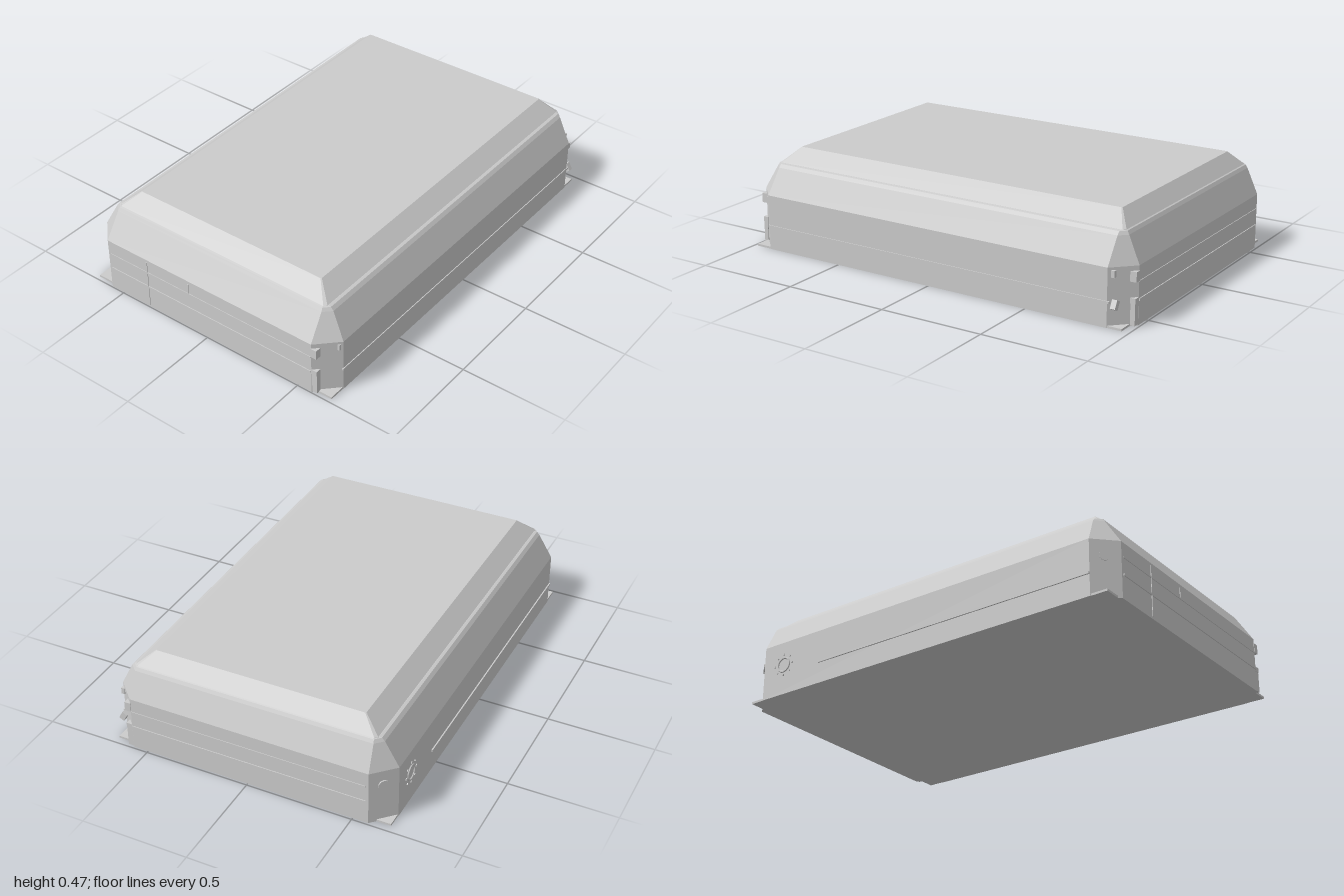
import * as THREE from 'three';

const mat = new THREE.MeshStandardMaterial({ color: 0xcccccc, flatShading: true });

// Closed hull through chamfered rectangles: [y, xMin, xMax, zHalf, chamfer]
function loftHull(levels) {
  const rings = levels.map(([y, a, b, z, c]) => [
    [a, y, z - c], [a + c, y, z], [b - c, y, z], [b, y, z - c],
    [b, y, -z + c], [b - c, y, -z], [a + c, y, -z], [a, y, -z + c],
  ]);
  const pos = [];
  const tri = (...p) => p.forEach((v) => pos.push(...v));
  for (let r = 0; r < rings.length - 1; r++) {
    const lo = rings[r], hi = rings[r + 1];
    for (let i = 0; i < 8; i++) {
      const j = (i + 1) % 8;
      tri(lo[i], lo[j], hi[j]);
      tri(lo[i], hi[j], hi[i]);
    }
  }
  const top = rings[rings.length - 1], base = rings[0];
  for (let i = 1; i < 7; i++) {
    tri(top[0], top[i], top[i + 1]);
    tri(base[0], base[i + 1], base[i]);
  }
  const g = new THREE.BufferGeometry();
  g.setAttribute('position', new THREE.Float32BufferAttribute(pos, 3));
  g.computeVertexNormals();
  return g;
}

export function createModel() {
  const model = new THREE.Group();
  model.name = 'case';

  const add = (name, geometry, x = 0, y = 0, z = 0) => {
    const m = new THREE.Mesh(geometry, mat);
    m.name = name;
    m.position.set(x, y, z);
    model.add(m);
    return m;
  };
  const box = (name, w, h, d, x, y, z) => add(name, new THREE.BoxGeometry(w, h, d), x, y, z);

  // Shell: upright walls, inward sloping shoulders, narrow lip
  add('shell', loftHull([
    [0, -0.995, 0.99, 0.667, 0.095],
    [0.262, -0.995, 0.99, 0.667, 0.095],
    [0.382, -0.918, 0.937, 0.603, 0.035],
    [0.397, -0.908, 0.928, 0.59, 0.025],
    [0.4, -0.9, 0.922, 0.578, 0.018],
  ]));

  // Raised lid with bevelled sides
  add('lid', loftHull([
    [0.385, -0.905, 0.925, 0.578, 0.012],
    [0.4, -0.9, 0.922, 0.576, 0.012],
    [0.467, -0.83, 0.865, 0.5, 0.004],
  ]));

  // Square cornered base plate
  box('basePlate', 1.945, 0.01, 1.33, -0.008, 0.005, 0);

  // Trim strips along the walls
  box('frontStrip', 1.81, 0.01, 0.008, 0, 0.113, 0.667);
  box('backStrip', 1.46, 0.01, 0.01, -0.17, 0.105, -0.668);
  for (const x of [-0.995, 0.99]) {
    box('sideStrip', 0.008, 0.01, 1.13, x, 0.113, 0.005);
    box('upperSideStrip', 0.006, 0.006, 1.13, x, 0.193, 0.005);
  }

  // Upright seams on the right-hand wall
  box('sideSeam', 0.006, 0.24, 0.006, -0.995, 0.13, -0.34);
  box('shortSideSeam', 0.006, 0.05, 0.006, -0.995, 0.22, -0.1);

  // Latches, hinges and feet at the front corners
  for (const [x, inner] of [[-0.982, -0.91], [0.978, 0.915]]) {
    box('latch', 0.03, 0.045, 0.03, x, 0.218, 0.585);
    box('hinge', 0.026, 0.024, 0.03, x, 0.113, 0.585);
    box('cornerFoot', 0.022, 0.1, 0.03, x, 0.055, 0.585);
    box('innerLatch', 0.016, 0.03, 0.016, inner, 0.235, 0.652);
  }
  const knob = box('cornerKnob', 0.024, 0.04, 0.026, 0.925, 0.103, 0.655);
  knob.rotation.x = -0.5;

  // Small discs on the back corners
  for (const s of [-1, 1]) {
    const disc = add('cornerDisc', new THREE.CylinderGeometry(0.024, 0.024, 0.006, 16),
      s * 0.945, 0.19, -0.621);
    disc.rotation.set(Math.PI / 2, 0, s * Math.PI / 4);
  }

  // Round port with a ring of studs on the back wall
  const port = new THREE.Group();
  port.name = 'port';
  port.position.set(0.775, 0.148, -0.667);
  port.add(new THREE.Mesh(new THREE.TorusGeometry(0.034, 0.005, 6, 24), mat));
  for (let i = 0; i < 8; i++) {
    const a = (i / 8) * Math.PI * 2;
    const stud = new THREE.Mesh(new THREE.BoxGeometry(0.008, 0.008, 0.008), mat);
    stud.name = 'portStud';
    stud.position.set(Math.cos(a) * 0.052, Math.sin(a) * 0.052, 0);
    stud.rotation.z = a;
    port.add(stud);
  }
  port.children[0].name = 'portRing';
  model.add(port);

  return model;
}
